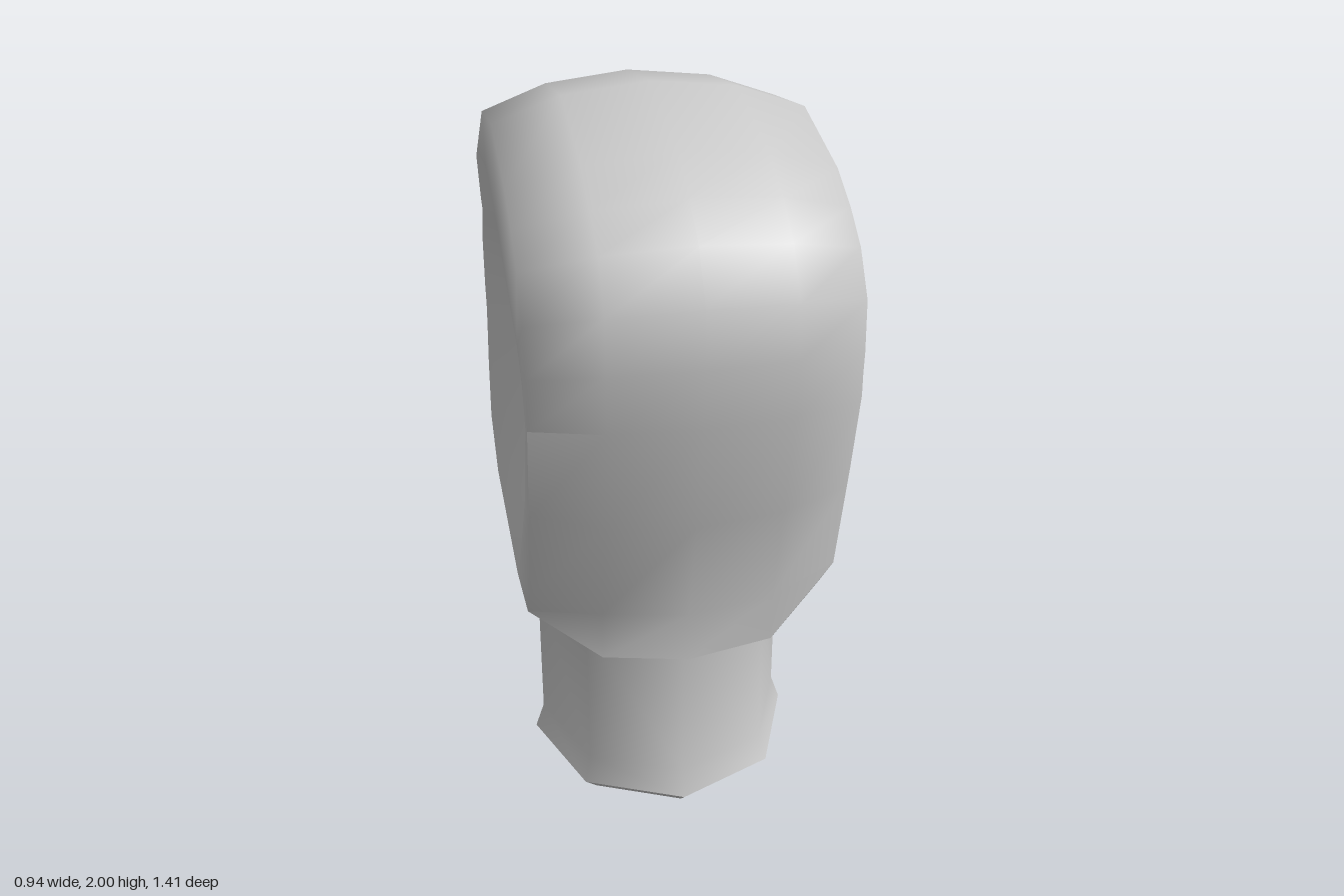
import * as THREE from 'three';
import { toCreasedNormals } from 'three/addons/utils/BufferGeometryUtils.js';

// Skin a list of closed rings, each an array of [x, y, z] with equal counts.
function loft(rings, crease) {
  const n = rings[0].length, index = [];
  for (let r = 0; r < rings.length - 1; r++) {
    for (let i = 0; i < n; i++) {
      const a = r * n + i, b = r * n + (i + 1) % n;
      index.push(a, b, a + n, b, b + n, a + n);
    }
  }
  const g = new THREE.BufferGeometry();
  g.setAttribute('position', new THREE.Float32BufferAttribute(rings.flat(2), 3));
  g.setIndex(index);
  return toCreasedNormals(g, crease);
}

// Side outline of the padded body as [z, y], clockwise from the crown
const outline = [
  [0, 2], [0.36, 1.93], [0.5, 1.865], [0.61, 1.79], [0.695, 1.67], [0.705, 1.52],
  [0.695, 1.36], [0.62, 1.04], [0.54, 0.72], [0.54, 0.575], [0.1, 0.575], [-0.35, 0.575],
  [-0.46, 0.72], [-0.6, 0.89], [-0.67, 1.04], [-0.705, 1.2], [-0.695, 1.37],
  [-0.6, 1.535], [-0.475, 1.62], [-0.465, 1.7], [-0.42, 1.88], [-0.36, 1.93],
];
const midY = 1.285;

// Slices across the body, from the hollow palm side to the bulging outer side:
// x, z scale, y scale, bulge above and below, roundness
const slices = [
  [-0.33, 0, 0, 0, 1], [-0.33, 0.46, 0.5, 0, 1], [-0.45, 0.82, 0.72, 0.035, 0],
  [-0.45, 0.875, 0.875, 0, 0], [-0.27, 0.965, 0.965, 0, 0], [-0.04, 1, 1, 0, 0],
  [0.19, 0.965, 0.965, 0, 0], [0.37, 0.875, 0.875, 0, 0], [0.39, 0.8, 0.72, 0, 0.3],
  [0.47, 0.46, 0.5, 0, 1], [0.47, 0, 0, 0, 1],
];

// One slice: scaled outline, eased towards a circle, its lower corners drawn in at the sides
function bodyRing([x, sz, sy, bulge, round]) {
  return outline.map(([z, y]) => {
    const cz = y < 0.6 && sz < 0.9 ? z * 0.77 : z, h = y - midY;
    const f = 1 + (0.7 / Math.hypot(cz, h) - 1) * round;
    const lift = Math.min(1, Math.abs(h) / 0.7);
    return [Math.max(-0.47, x - bulge * lift ** 2), midY + h * f * sy, cz * f * sz];
  });
}

// Neck rings from the recessed underside, round the rim and up: y, x radius, z radius
const neckRings = [
  [0.11, 0, 0], [0.11, 0.27, 0.29], [0, 0.33, 0.35], [0.05, 0.38, 0.4],
  [0.125, 0.355, 0.37], [0.57, 0.355, 0.37], [0.65, 0.385, 0.37], [0.7, 0.33, 0.35],
];

export function createModel() {
  const group = new THREE.Group();
  const material = new THREE.MeshStandardMaterial({ color: 0xcccccc });
  const add = (name, geometry) => {
    const mesh = new THREE.Mesh(geometry, material);
    mesh.name = name;
    group.add(mesh);
  };

  // Rounded body with a step at the back, one hollow side and one bulging side
  add('paddedBody', loft(slices.map(bodyRing), 1.15));

  // Octagonal neck with a flared, hollowed foot
  add('neck', loft(neckRings.map(([y, rx, rz]) => Array.from({ length: 8 }, (_, i) => {
    const a = -i * Math.PI / 4;
    return [-0.04 + Math.cos(a) * rx, y, 0.095 + Math.sin(a) * rz];
  })), 0.9));

  return group;
}
